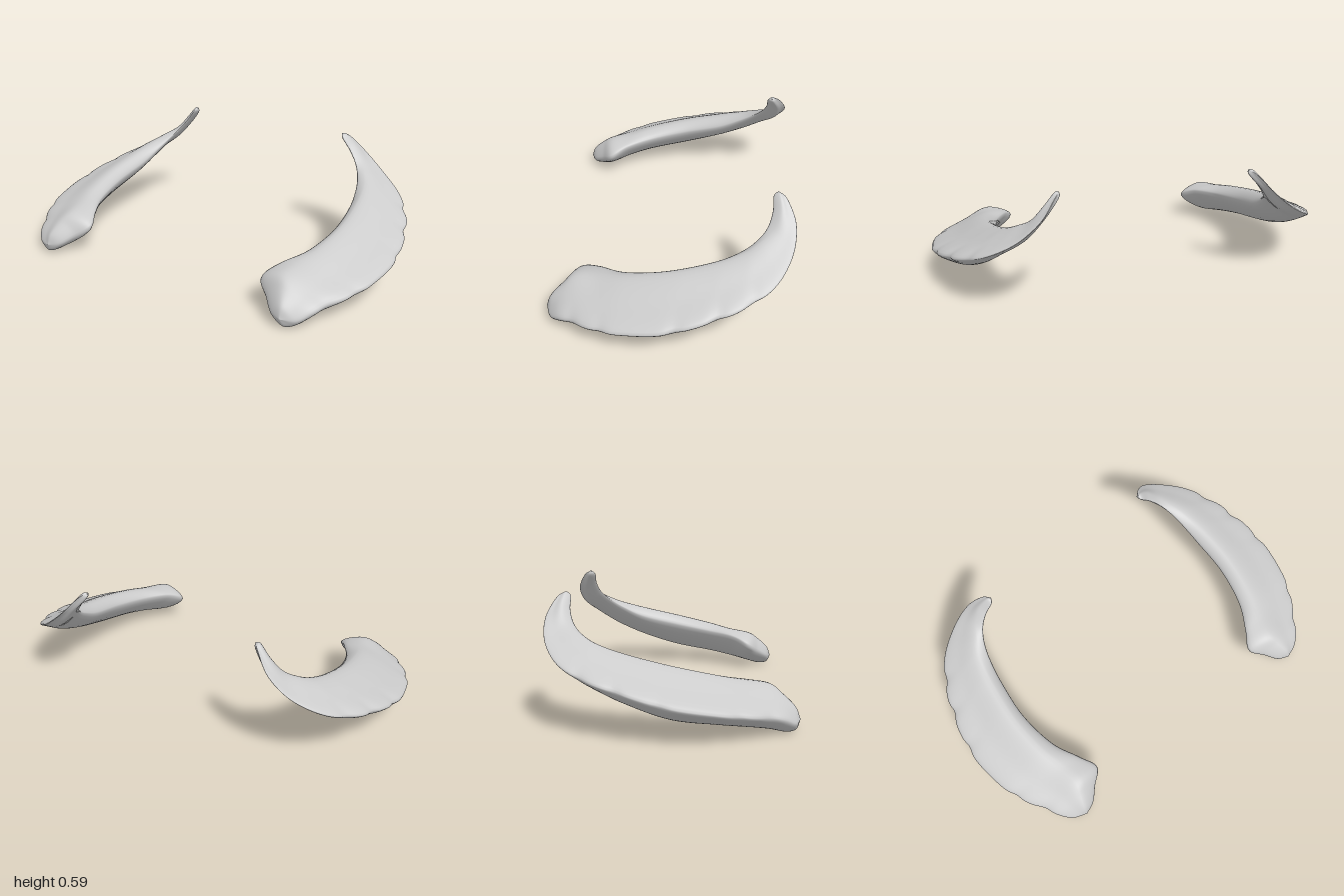
import * as THREE from 'three';
import { mergeVertices } from 'three/addons/utils/BufferGeometryUtils.js';

const STEPS = 120, SIDES = 36;

// Rails of the blade from blunt front end to hooked tip, as [x, y, z]
const RAILS = {
  inner: [[.70, .05, .577], [.64, .06, .55], [.585, .095, .495], [.52, .14, .43], [.565, .185, .34], [.635, .205, .2],
    [.67, .24, 0], [.658, .29, -.2], [.637, .35, -.32], [.61, .402, -.395], [.572, .455, -.445], [.525, .515, -.468], [.481, .572, -.47], [.466, .59, -.492]],
  top: [[.70, .05, .577], [.69, .105, .555], [.665, .158, .50], [.64, .2, .44], [.665, .22, .33], [.70, .25, .2],
    [.72, .295, 0], [.705, .343, -.2], [.68, .385, -.335], [.645, .42, -.41], [.60, .46, -.475], [.547, .528, -.503], [.49, .588, -.496], [.466, .59, -.492]],
  outer: [[.70, .05, .577], [.77, .05, .55], [.82, .08, .50], [.865, .10, .43], [.93, .12, .32], [.972, .14, .2],
    [.997, .175, 0], [.965, .225, -.2], [.9, .27, -.37], [.81, .32, -.49], [.685, .395, -.562], [.575, .485, -.575], [.498, .57, -.532], [.466, .59, -.492]],
  keel: [[.70, .05, .577], [.71, .008, .555], [.715, .001, .50], [.72, .018, .43], [.76, .042, .32], [.80, .062, .2],
    [.84, .093, 0], [.82, .16, -.2], [.775, .235, -.35], [.715, .31, -.445], [.625, .39, -.515], [.54, .485, -.528], [.472, .562, -.504], [.466, .59, -.492]],
};

// Notches in the outer edge as [z, depth]
const NOTCHES = [[-.39, .014], [-.235, .016], [-.05, .012], [.29, .01], [.43, .01]];

function rail(points) {
  return new THREE.CatmullRomCurve3(points.map(p => new THREE.Vector3(...p)), false, 'catmullrom', 0.5);
}

function bladeGeometry(side) {
  const [inner, top, outer, keel] = ['inner', 'top', 'outer', 'keel'].map(k => rail(RAILS[k]));
  const pos = [], index = [];
  for (let s = 0; s <= STEPS; s++) {
    const t = s / STEPS;
    const I = inner.getPoint(t), T = top.getPoint(t), O = outer.getPoint(t), K = keel.getPoint(t);
    const pole = s === 0 || s === STEPS;
    // Fullness of the upper and lower faces, fading towards both ends
    const full = THREE.MathUtils.smoothstep(t, 0, .15) * (1 - THREE.MathUtils.smoothstep(t, .6, .9));
    const upper = T.clone().lerp(O, .55);
    upper.y += .008 * full;
    const lower = K.clone().lerp(O, .6);
    lower.x += .012 * full;
    lower.y -= .012 * full;
    // Notched outer edge
    if (t < .75) {
      for (const [z, depth] of NOTCHES) O.x -= depth * Math.exp(-(((O.z - z) / .035) ** 2));
    }
    const ring = pole ? null : new THREE.CatmullRomCurve3([I, T, upper, O, lower, K], true, 'centripetal');
    for (let j = 0; j < SIDES; j++) {
      const p = pole ? I : ring.getPoint(j / SIDES);
      pos.push(p.x * side, p.y, p.z);
    }
  }
  for (let s = 0; s < STEPS; s++) {
    for (let j = 0; j < SIDES; j++) {
      const a = s * SIDES + j, b = s * SIDES + (j + 1) % SIDES, c = a + SIDES, d = b + SIDES;
      const tris = [];
      if (s > 0) tris.push([a, b, c]);
      if (s < STEPS - 1) tris.push([b, d, c]);
      for (const [p, q, r] of tris) index.push(...(side > 0 ? [p, q, r] : [p, r, q]));
    }
  }
  const raw = new THREE.BufferGeometry();
  raw.setAttribute('position', new THREE.Float32BufferAttribute(pos, 3));
  raw.setIndex(index);
  // Weld the ends so that the caps shade smoothly
  const geometry = mergeVertices(raw, 1e-5);
  geometry.computeVertexNormals();
  return geometry;
}

export function createModel() {
  const group = new THREE.Group();
  const material = new THREE.MeshStandardMaterial({ color: 0xcccccc });
  // Mirrored pair of curved blades
  for (const [name, side] of [['leftCurvedBlade', 1], ['rightCurvedBlade', -1]]) {
    const mesh = new THREE.Mesh(bladeGeometry(side), material);
    mesh.name = name;
    group.add(mesh);
  }
  return group;
}
